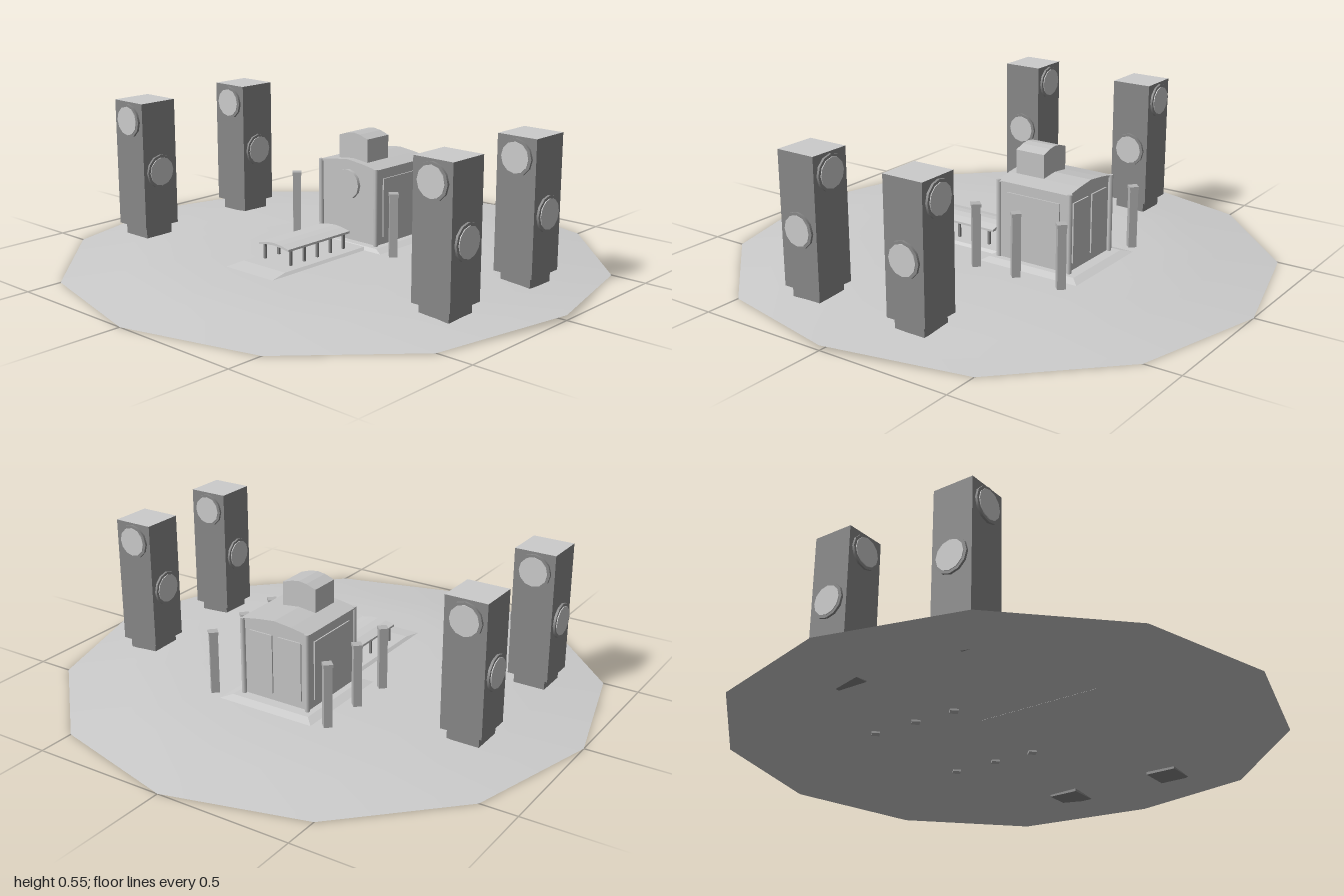
import * as THREE from 'three';

const mat = (name, color, side = THREE.FrontSide) => {
  const m = new THREE.MeshStandardMaterial({ color, side });
  m.name = name;
  return m;
};

export function createModel() {
  const root = new THREE.Group();
  root.name = 'courtyardWithTowers';
  const pale = mat('paleStone', 0xcccccc);
  const ground = mat('groundStone', 0xcccccc, THREE.DoubleSide);
  const dark = mat('darkStone', 0x888888);
  const wall = mat('wallStone', 0xc4c4c4);
  const postGrey = mat('postStone', 0xb4b4b4);

  const add = (parent, name, geo, material, x = 0, y = 0, z = 0) => {
    const m = new THREE.Mesh(geo, material);
    m.name = name;
    m.position.set(x, y, z);
    parent.add(m);
    return m;
  };
  // box given by its bottom centre
  const box = (parent, name, w, h, d, material, x, y, z) =>
    add(parent, name, new THREE.BoxGeometry(w, h, d), material, x, y + h / 2, z);
  // profile in x and y, extruded from z0 to z1
  const extrude = (parent, name, pts, z0, z1, material) => {
    const shape = new THREE.Shape(pts.map(p => new THREE.Vector2(...p)));
    return add(parent, name, new THREE.ExtrudeGeometry(shape, { depth: z1 - z0, bevelEnabled: false }), material, 0, 0, z0);
  };

  // Twelve-sided mound: rings of vertices around a centre point
  const rings = [[0.3, 0.042], [0.58, 0.042], [0.78, 0.024], [1, 0]];
  const pos = [0, 0.042, 0], idx = [];
  rings.forEach(([r, h], k) => {
    for (let i = 0; i < 12; i++) {
      const a = i * Math.PI / 6;
      const lift = k === 3 && i === 0 ? 0.018 : k === 2 && i < 3 ? 0.004 : 0;
      pos.push(Math.cos(a) * r, h + lift, Math.sin(a) * r);
      const j = (i + 1) % 12, c = 1 + k * 12, p = c - 12;
      if (k === 0) idx.push(0, c + j, c + i);
      else idx.push(p + i, p + j, c + i, p + j, c + j, c + i);
    }
  });
  const mound = new THREE.BufferGeometry();
  mound.setAttribute('position', new THREE.Float32BufferAttribute(pos, 3));
  mound.setIndex(idx);
  mound.computeVertexNormals();
  add(root, 'mound', mound, ground);

  // Sloped earth pads: boxes whose lower corners spread outwards
  const pad = (name, top, bottom, y) => {
    const g = new THREE.BoxGeometry(1, 1, 1), p = g.attributes.position;
    for (let i = 0; i < p.count; i++) {
      const up = p.getY(i) > 0, [x0, x1, z0, z1] = up ? top : bottom;
      p.setXYZ(i, p.getX(i) < 0 ? x0 : x1, up ? y : 0.04, p.getZ(i) < 0 ? z0 : z1);
    }
    g.computeVertexNormals();
    add(root, name, g, pale);
  };
  pad('housePad', [-0.16, 0.16, -0.4, -0.045], [-0.2, 0.2, -0.44, -0.025], 0.052);
  pad('walkPad', [-0.1, 0.105, -0.06, 0.37], [-0.115, 0.12, -0.06, 0.46], 0.05);

  // Four towers with round faces: high on front and back, low on the sides
  for (const [x, z, y] of [[-0.67, -0.18, 0.01], [-0.67, 0.33, 0.01], [0.717, -0.18, 0], [0.717, 0.265, 0]]) {
    const tower = new THREE.Group();
    tower.name = 'tower';
    tower.position.set(x, y, z);
    root.add(tower);
    box(tower, 'towerBase', 0.12, 0.045, 0.12, dark, 0, 0.022, 0);
    const body = box(tower, 'towerBody', 0.155, 0.48, 0.155, dark, 0, 0.063, 0);
    body.material = [dark, dark, pale, dark, dark, dark];
    for (let i = 0; i < 4; i++) {
      const face = new THREE.Group();
      face.name = 'towerRoundel';
      face.rotation.y = i * Math.PI / 2;
      face.position.y = i % 2 ? 0.278 : 0.472;
      tower.add(face);
      const rim = add(face, 'roundelRim', new THREE.CylinderGeometry(0.064, 0.064, 0.012, 12), dark, 0, 0, 0.08);
      const disc = add(face, 'roundelDisc', new THREE.CylinderGeometry(0.054, 0.054, 0.006, 12), pale, 0, 0, 0.086);
      rim.rotation.x = disc.rotation.x = Math.PI / 2;
    }
  }

  // House: walls, corner columns, low arched roof and roof box
  const house = new THREE.Group();
  house.name = 'house';
  root.add(house);
  box(house, 'houseWalls', 0.272, 0.29, 0.285, wall, 0, 0.045, -0.217);
  for (const s of [-1, 1]) {
    for (const z of [-0.366, -0.07])
      add(house, 'cornerColumn', new THREE.CylinderGeometry(0.009, 0.009, 0.295, 8), wall, s * 0.135, 0.193, z);
    box(house, 'sidePanel', 0.008, 0.22, 0.22, wall, s * 0.137, 0.08, -0.217);
    box(house, 'backPanel', 0.095, 0.22, 0.008, wall, s * 0.06, 0.08, -0.361);
  }
  extrude(house, 'houseRoof', [[-0.142, 0.333], [0.142, 0.333], [0.142, 0.338], [0.07, 0.35], [0, 0.358], [-0.07, 0.35], [-0.142, 0.338]],
    -0.366, -0.068, wall);
  extrude(house, 'roofBox', [[-0.069, 0.34], [0.069, 0.34], [0.069, 0.437], [0.03, 0.45], [0, 0.454], [-0.03, 0.45], [-0.069, 0.437]],
    -0.215, -0.098, wall);
  const roundel = add(house, 'houseRoundel', new THREE.CylinderGeometry(0.056, 0.056, 0.014, 12), wall, 0, 0.265, -0.069);
  roundel.rotation.x = Math.PI / 2;

  // Covered walk: thin arched canopy on two rows of posts
  const walk = new THREE.Group();
  walk.name = 'coveredWalk';
  root.add(walk);
  extrude(walk, 'canopy', [[-0.073, 0.105], [-0.035, 0.112], [0, 0.115], [0.035, 0.112], [0.073, 0.105],
    [0.073, 0.113], [0.035, 0.121], [0, 0.124], [-0.035, 0.121], [-0.073, 0.113]], 0.003, 0.32, pale);
  for (const x of [-0.063, 0.063])
    for (let i = 0; i < 5; i++)
      box(walk, 'canopyPost', 0.009, 0.067, 0.009, dark, x, 0.042, 0.027 + i * 0.068);

  // Free-standing posts, turned by 45 degrees
  for (const x of [-0.24, 0.24])
    for (const z of [-0.4, -0.215, -0.045]) {
      const post = new THREE.Group();
      post.name = 'post';
      post.position.set(x, 0, z);
      post.rotation.y = Math.PI / 4;
      root.add(post);
      box(post, 'postShaft', 0.03, 0.235, 0.03, postGrey, 0, 0.035, 0);
      box(post, 'postCap', 0.034, 0.012, 0.034, postGrey, 0, 0.264, 0);
    }
  return root;
}
